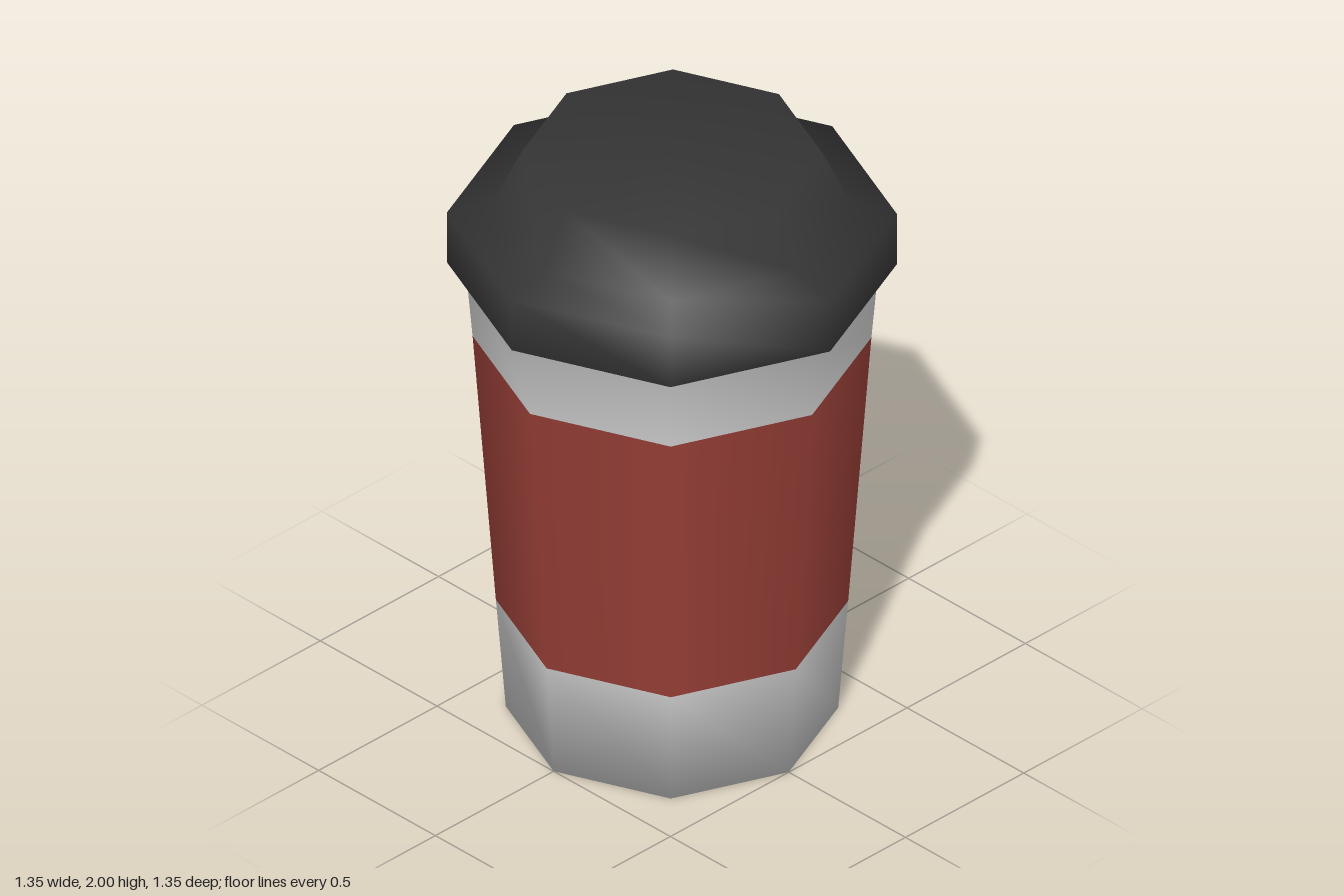
import * as THREE from 'three';

const SIDES = 8;

// Outline from the centre of the base up to the centre of the lid: [radius, height]
const OUTLINE = [
  [0, 0], [0.5, 0], [0.53, 0.385], [0.6, 1.335], [0.62, 1.57],
  [0.677, 1.6], [0.677, 1.78], [0.54, 1.82], [0.452, 2], [0, 2],
];

// Each part covers a range of outline segments
const PARTS = [
  { name: 'cupBase', material: 'paperGrey', from: 0, to: 2 },
  { name: 'sleeve', material: 'sleeveRed', from: 2, to: 3 },
  { name: 'cupRim', material: 'paperGrey', from: 3, to: 4 },
  { name: 'lid', material: 'lidBlack', from: 4, to: 9 },
];

const COLORS = { paperGrey: 0xcccccc, sleeveRed: 0x963e36, lidBlack: 0x343434 };

// Takes a band of the turned shape, keeping its smooth normals across the seams
function band(whole, from, to) {
  const n = OUTLINE.length;
  const index = [];
  for (let i = 0; i < SIDES; i++) {
    for (let j = from; j < to; j++) {
      const a = i * n + j, b = a + n, c = b + 1, d = a + 1;
      if (j > 0) index.push(a, b, d);
      else index.push(a, c, d);
      if (j > 0 && j < n - 2) index.push(c, d, b);
    }
  }
  const geometry = new THREE.BufferGeometry();
  geometry.setAttribute('position', whole.getAttribute('position'));
  geometry.setAttribute('normal', whole.getAttribute('normal'));
  geometry.setIndex(index);
  return geometry.toNonIndexed();
}

export function createModel() {
  const group = new THREE.Group();
  group.name = 'takeawayCup';

  const materials = {};
  for (const [name, color] of Object.entries(COLORS)) {
    materials[name] = new THREE.MeshStandardMaterial({ color });
    materials[name].name = name;
  }

  const whole = new THREE.LatheGeometry(OUTLINE.map(([r, y]) => new THREE.Vector2(r, y)), SIDES);
  for (const part of PARTS) {
    const mesh = new THREE.Mesh(band(whole, part.from, part.to), materials[part.material]);
    mesh.name = part.name;
    group.add(mesh);
  }
  return group;
}
